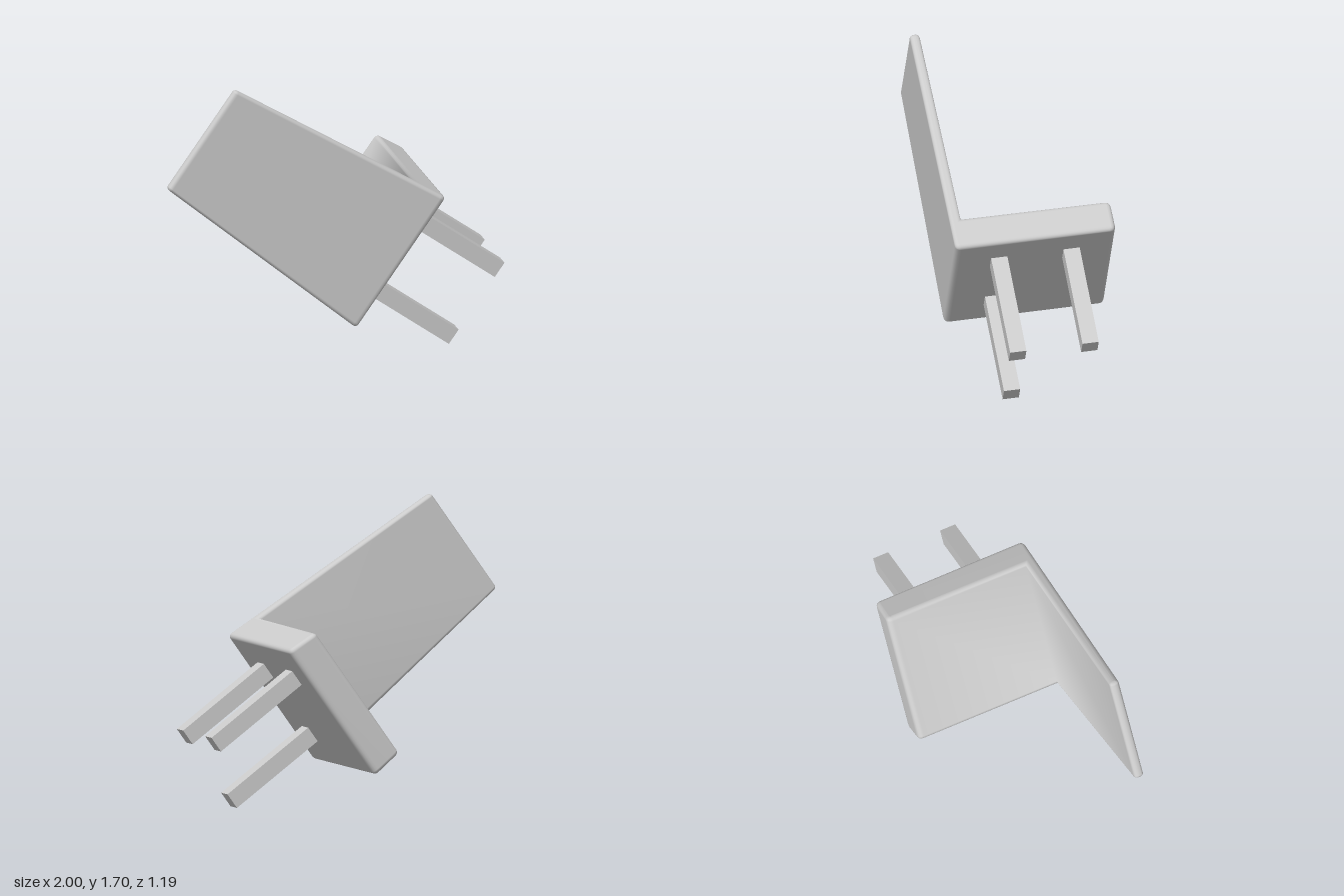
import * as THREE from 'three';
import { mergeVertices } from 'three/addons/utils/BufferGeometryUtils.js';

const material = new THREE.MeshStandardMaterial({ color: 0xcccccc });

// Closed outline with each corner [x, y, radius] rounded off
function roundedOutline(corners) {
  const shape = new THREE.Shape();
  const count = corners.length;
  const at = (i) => new THREE.Vector2(corners[i % count][0], corners[i % count][1]);
  for (let i = 0; i < count; i++) {
    const r = corners[i][2];
    const here = at(i);
    const a = at(i + count - 1).sub(here).setLength(r).add(here);
    const b = at(i + 1).sub(here).setLength(r).add(here);
    if (i === 0) shape.moveTo(a.x, a.y);
    else shape.lineTo(a.x, a.y);
    if (r > 0) shape.quadraticCurveTo(here.x, here.y, b.x, b.y);
  }
  shape.closePath();
  return shape;
}

// L-shaped body: long cover plate and thick pin block, softly bevelled
function makeBody() {
  const bevel = 0.024;
  const half = 0.458;
  const outline = roundedOutline([
    [0, 0, 0.035],
    [-1.468, 0, 0.026],
    [-1.468, -0.058, 0.026],
    [-0.2, -0.067, 0],
    [-0.195, -0.938, 0.035],
    [0, -0.938, 0.035],
  ]);
  const geometry = new THREE.ExtrudeGeometry(outline, {
    depth: 2 * (half - bevel), bevelEnabled: true, bevelThickness: bevel,
    bevelSize: bevel, bevelOffset: -bevel, bevelSegments: 4, curveSegments: 4,
  });
  geometry.translate(0, 0, -(half - bevel));
  geometry.rotateX(Math.PI / 2);

  // Narrow the width evenly toward the far end of the plate
  const pos = geometry.attributes.position;
  for (let i = 0; i < pos.count; i++) {
    pos.setY(i, pos.getY(i) * (1 + (pos.getX(i) * 0.075) / half));
  }
  geometry.deleteAttribute('uv');
  geometry.deleteAttribute('normal');
  const smooth = mergeVertices(geometry, 1e-4);
  smooth.computeVertexNormals();
  const body = new THREE.Mesh(smooth, material);
  body.name = 'body';
  return body;
}

export function createModel() {
  const model = new THREE.Group();
  model.name = 'threePinConnector';
  model.add(makeBody());

  // Three square pins standing out of the block
  const length = 0.63;
  const pins = { lowerPin: [-0.232, -0.267], upperPin: [0.237, -0.267], rearPin: [0.237, -0.69] };
  for (const [name, [y, z]] of Object.entries(pins)) {
    const pin = new THREE.Mesh(new THREE.BoxGeometry(length, 0.1, 0.095), material);
    pin.name = name;
    pin.position.set(length / 2 - 0.01, y, z);
    model.add(pin);
  }

  // Tilted resting pose
  const across = new THREE.Vector3(0.571, 0.817, -0.061).normalize();
  const facing = new THREE.Vector3(0.162, -0.04, 0.986).normalize();
  const along = new THREE.Vector3().crossVectors(across, facing).normalize();
  facing.crossVectors(along, across);
  model.quaternion.setFromRotationMatrix(new THREE.Matrix4().makeBasis(along, across, facing));
  model.position.set(0.37, 0.58, 0.35);

  const root = new THREE.Group();
  root.add(model);
  return root;
}
